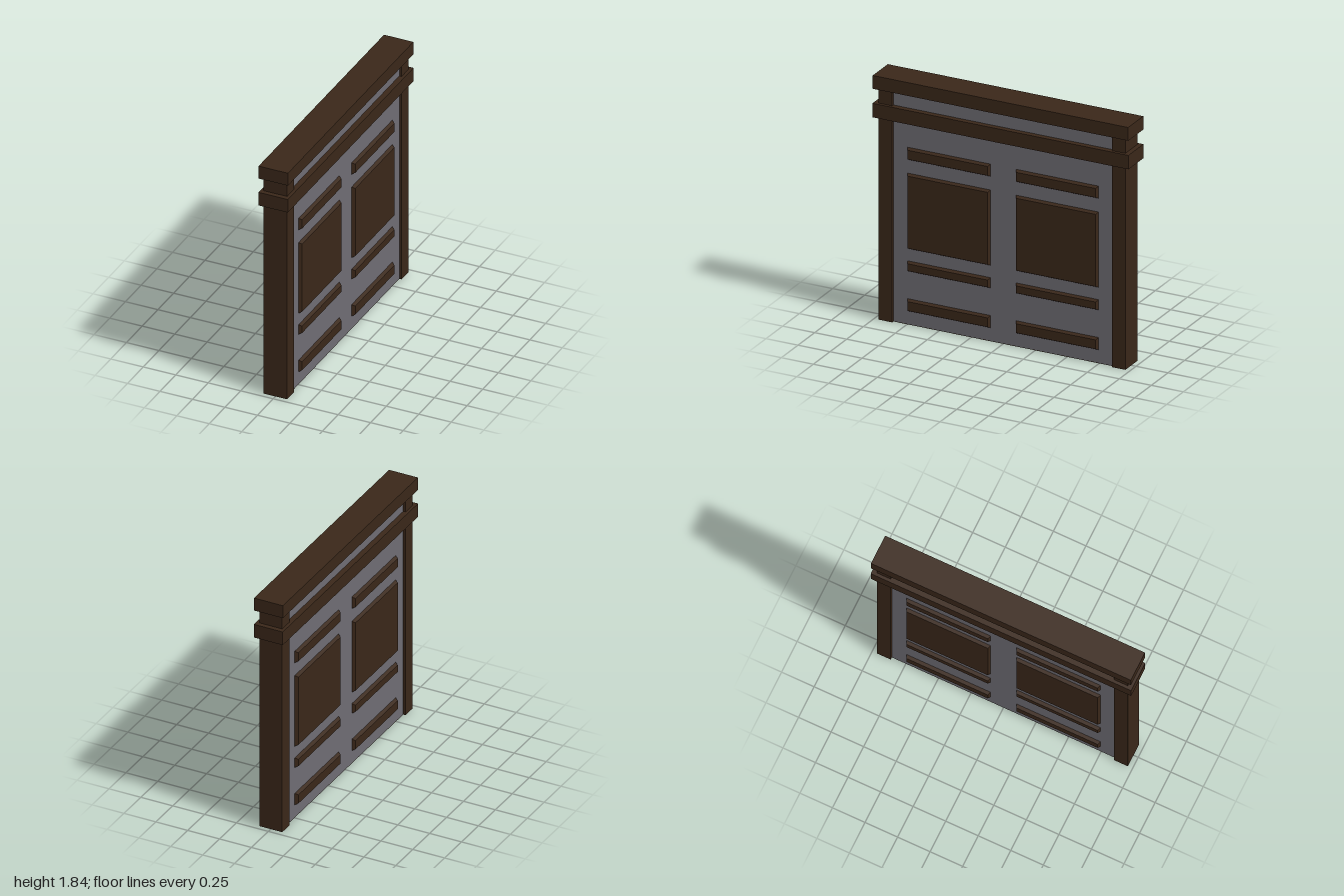
import * as THREE from 'three';

const wood = new THREE.MeshStandardMaterial({ color: 0x3a2719, flatShading: true });
const plaster = new THREE.MeshStandardMaterial({ color: 0x6e6c73, flatShading: true });

// Box spanning w x h x d, resting on height y
function block(name, w, y0, y1, d, z, material) {
  const mesh = new THREE.Mesh(new THREE.BoxGeometry(w, y1 - y0, d), material);
  mesh.position.set(0, (y0 + y1) / 2, z);
  mesh.name = name;
  return mesh;
}

// Raised panel on the +x face whose outer face is inset to form a bevel
function panelGeometry(depth, height, width, inset) {
  const geometry = new THREE.BoxGeometry(depth, height, width);
  const p = geometry.attributes.position;
  for (let i = 0; i < p.count; i++) {
    if (p.getX(i) < 0) continue;
    p.setY(i, p.getY(i) - Math.sign(p.getY(i)) * inset);
    p.setZ(i, p.getZ(i) - Math.sign(p.getZ(i)) * inset);
  }
  geometry.computeVertexNormals();
  return geometry;
}

export function createModel() {
  const model = new THREE.Group();
  model.name = 'panelledWall';

  // Wall slab and the thin sill under it
  model.add(block('wallSlab', 0.144, 0.004, 1.75, 1.74, 0, plaster));
  model.add(block('sill', 0.144, 0, 0.004, 1.74, 0, wood));

  // End posts
  for (const s of [1, -1]) {
    model.add(block(s > 0 ? 'frontPost' : 'backPost', 0.18, 0, 1.75, 0.106, s * 0.911, wood));
  }

  // Horizontal rails
  model.add(block('lowerRail', 0.226, 1.525, 1.63, 2, 0, wood));
  model.add(block('topRail', 0.226, 1.74, 1.84, 1.996, 0, wood));

  // Bevelled panels in two columns on both faces
  const rows = [[0.1, 0.195], [0.4, 0.48], [0.57, 1.14], [1.24, 1.335]];
  const inner = 0.07, outer = 0.095;
  for (const side of [1, -1]) {
    const face = new THREE.Group();
    face.name = side > 0 ? 'leftPanels' : 'rightPanels';
    face.rotation.y = side > 0 ? 0 : Math.PI;
    for (const [y0, y1] of rows) {
      for (const column of [1, -1]) {
        const panel = new THREE.Mesh(panelGeometry(outer - inner, y1 - y0, 0.65, 0.013), wood);
        panel.position.set((inner + outer) / 2, (y0 + y1) / 2, column * 0.422);
        panel.name = 'panel';
        face.add(panel);
      }
    }
    model.add(face);
  }
  return model;
}
